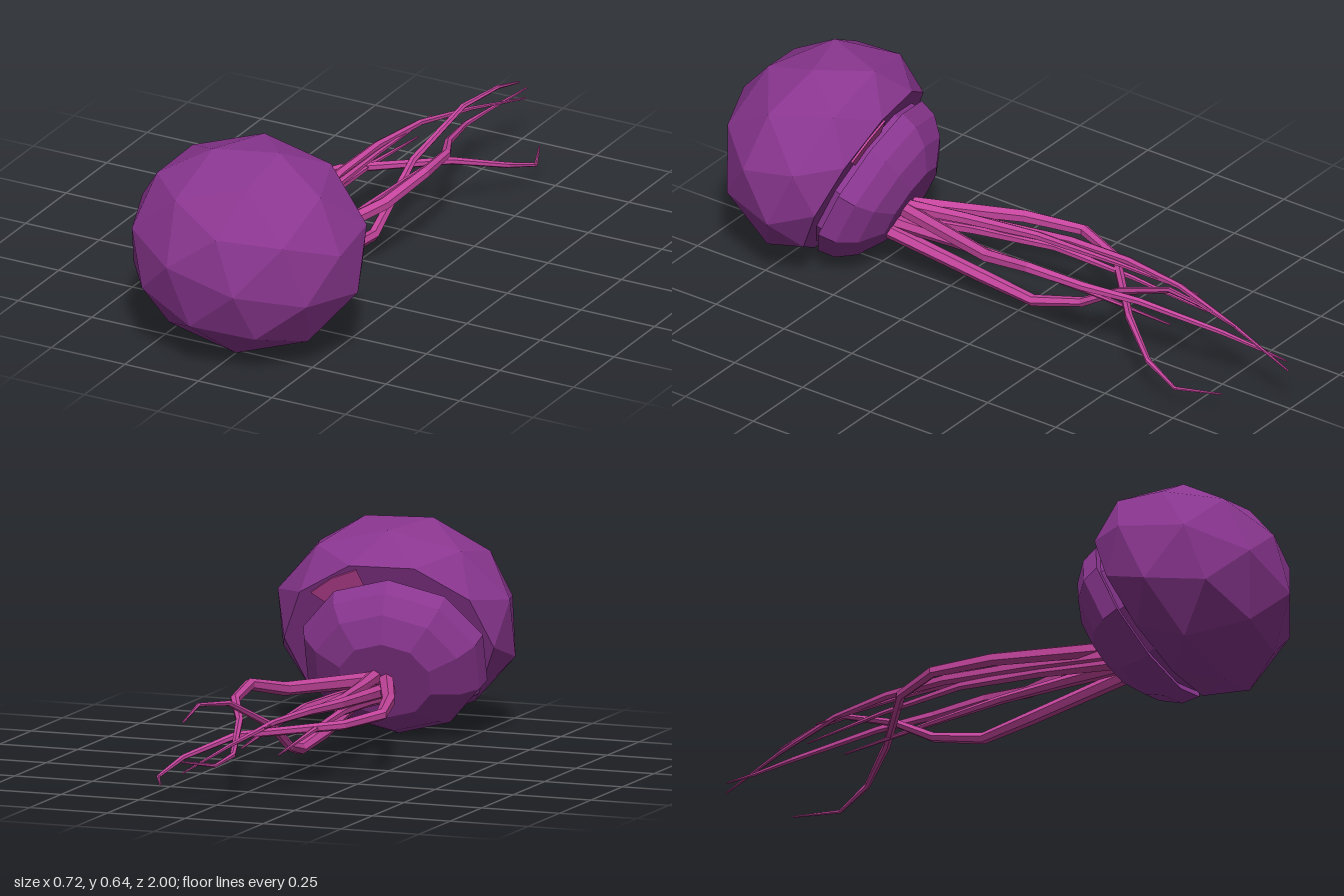
import * as THREE from 'three';

const purple = new THREE.MeshStandardMaterial({ color: 0x8a3690 });
purple.name = 'bodyPurple';
const pink = new THREE.MeshStandardMaterial({ color: 0xc4459d });
pink.name = 'filamentPink';

// Faceted mesh: one normal per face
function faceted(geometry, material, name) {
  const g = geometry.index ? geometry.toNonIndexed() : geometry;
  g.computeVertexNormals();
  const mesh = new THREE.Mesh(g, material);
  mesh.name = name;
  return mesh;
}

// Large dome: icosphere with its pole on +y, lower end flattened into a rim
function frontShell() {
  const g = new THREE.IcosahedronGeometry(1, 1);
  g.rotateZ(Math.PI / 2 - Math.atan2((1 + Math.sqrt(5)) / 2, 1));
  const p = g.attributes.position;
  for (let i = 0; i < p.count; i++) {
    const y = p.getY(i);
    if (y > -0.2) continue;
    const r = Math.hypot(p.getX(i), p.getZ(i));
    const target = y > -0.7 ? 0.86 : y > -0.95 ? 0.5 : 0;
    const k = r > 1e-4 ? target / r : 0;
    p.setXYZ(i, p.getX(i) * k, -0.33, p.getZ(i) * k);
  }
  g.scale(0.373, 0.33, 0.33);
  return faceted(g, purple, 'frontShell');
}

function lathe(profile, name, material, start = 0, length = Math.PI * 2, segments = 10) {
  const pts = profile.map(([r, y]) => new THREE.Vector2(r, y));
  const g = new THREE.LatheGeometry(pts, segments, start, length);
  g.scale(1.1, 1, 1);
  return faceted(g, material, name);
}

// Tapered filament through a few points, with "steps" straight pieces between them
function filament(steps, ...points) {
  const curve = new THREE.CatmullRomCurve3(points.map((p) => new THREE.Vector3(...p)));
  curve.getPointAt = curve.getPoint;
  curve.getTangentAt = curve.getTangent;
  const n = (points.length - 1) * steps;
  const sides = 6;
  const g = new THREE.TubeGeometry(curve, n, 1, sides, false);
  const p = g.attributes.position;
  const v = new THREE.Vector3();
  for (let i = 0; i < p.count; i++) {
    const t = Math.floor(i / (sides + 1)) / n;
    const c = curve.getPoint(t);
    v.fromBufferAttribute(p, i).sub(c).multiplyScalar(0.024 - 0.021 * t).add(c);
    p.setXYZ(i, v.x, v.y, v.z);
  }
  return faceted(g, pink, 'filament');
}

export function createModel() {
  const model = new THREE.Group();
  model.name = 'cell';

  // Body, tilted so its pole points forward and up, then rolled slightly
  const body = new THREE.Group();
  body.name = 'body';
  const axis = new THREE.Vector3(0.14, 0.41, 0.9).normalize();
  const across = new THREE.Vector3(1, 0, 0).addScaledVector(axis, -axis.x).normalize();
  across.applyAxisAngle(axis, 0.075);
  const up = new THREE.Vector3().crossVectors(axis, across);
  body.quaternion.setFromRotationMatrix(
    new THREE.Matrix4().makeBasis(across.clone().negate(), axis, up));
  body.position.set(0, 0.315, 0.68);
  body.add(frontShell());

  // Smaller rear shell with a flat end, and the groove between the shells
  const rear = new THREE.Group();
  rear.name = 'rear';
  rear.position.set(0.022, 0, -0.022);
  rear.add(lathe([[0, -0.28], [0.13, -0.28], [0.207, -0.237], [0.25, -0.185], [0.262, -0.13], [0, -0.13]],
    'rearShell', purple));
  rear.add(lathe([[0.24, -0.14], [0.24, -0.1]], 'grooveCore', purple));
  rear.add(lathe([[0.23, -0.115], [0.295, -0.115], [0.295, -0.107]],
    'grooveFilament', pink, -0.86, 0.55, 2));
  body.add(rear);
  model.add(body);

  // Trailing filaments: three wavy ones, then four nearly straight ones
  const filaments = new THREE.Group();
  filaments.name = 'filaments';
  filaments.add(
    filament(1, [-0.05, 0.18, 0.47], [-0.2, 0.18, 0.12], [-0.25, 0.17, -0.06], [-0.19, 0.16, -0.22],
      [0.06, 0.15, -0.45], [0.17, 0.1, -0.6], [0.2, 0.06, -0.72], [0.14, 0.055, -0.85]),
    filament(1, [-0.03, 0.18, 0.47], [0.1, 0.21, 0.04], [0.14, 0.25, -0.14], [0.115, 0.235, -0.32],
      [0.04, 0.2, -0.47], [-0.04, 0.14, -0.72], [-0.04, 0.13, -0.86], [0.015, 0.16, -1]),
    filament(1, [0.03, 0.13, 0.49], [0.01, 0.07, 0.12], [0.01, 0.05, -0.06], [-0.02, 0.085, -0.22],
      [-0.02, 0.17, -0.36], [0.03, 0.27, -0.58], [0.07, 0.285, -0.72], [0.07, 0.25, -0.85]),
    filament(2, [-0.05, 0.13, 0.49], [-0.12, 0.17, -0.05], [-0.135, 0.125, -0.6]),
    filament(2, [-0.02, 0.19, 0.47], [-0.1, 0.2, 0], [-0.09, 0.205, -0.6]),
    filament(2, [-0.06, 0.15, 0.48], [-0.13, 0.2, -0.1], [-0.09, 0.21, -0.53], [0.01, 0.125, -1]),
    filament(2, [0, 0.14, 0.48], [0.02, 0.165, 0], [0, 0.13, -0.56]),
  );
  model.add(filaments);
  return model;
}
